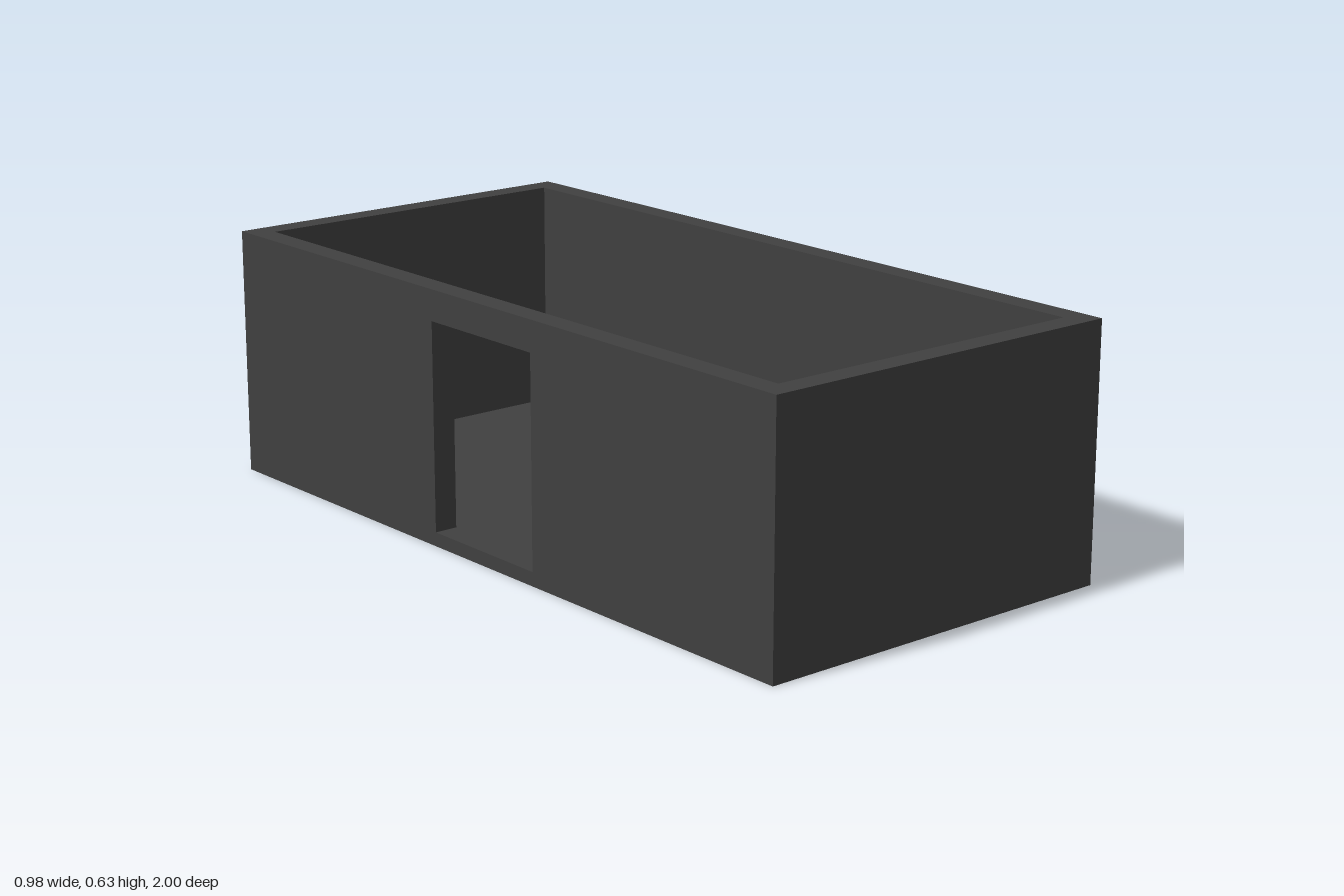
import * as THREE from 'three';

const WIDTH = 0.984, LENGTH = 2, HEIGHT = 0.63;
const WALL = 0.06, FLOOR = 0.035;
const DOOR_HALF = 0.187, DOOR_TOP = 0.553;

export function createModel() {
  const group = new THREE.Group();
  group.name = 'roofless room';
  const material = new THREE.MeshStandardMaterial({ color: 0x404040 });

  function add(name, geometry, x, y, z) {
    const mesh = new THREE.Mesh(geometry, material);
    mesh.name = name;
    mesh.position.set(x, y, z);
    group.add(mesh);
    return mesh;
  }

  const wallHeight = HEIGHT - FLOOR;
  const wallY = FLOOR + wallHeight / 2;
  const sideX = (WIDTH - WALL) / 2;
  const innerLength = LENGTH - 2 * WALL;

  // Floor slab under the whole room
  add('floor', new THREE.BoxGeometry(WIDTH, FLOOR, LENGTH), 0, FLOOR / 2, 0);

  // Short end walls
  for (const [name, side] of [['frontWall', 1], ['backWall', -1]]) {
    add(name, new THREE.BoxGeometry(WIDTH, wallHeight, WALL), 0, wallY, side * (LENGTH - WALL) / 2);
  }

  // Plain long wall
  add('leftWall', new THREE.BoxGeometry(WALL, wallHeight, innerLength), sideX, wallY, 0);

  // Long wall with a doorway reaching down to the floor
  const half = innerLength / 2;
  const outline = new THREE.Shape([
    [-half, FLOOR], [-DOOR_HALF, FLOOR], [-DOOR_HALF, DOOR_TOP], [DOOR_HALF, DOOR_TOP],
    [DOOR_HALF, FLOOR], [half, FLOOR], [half, HEIGHT], [-half, HEIGHT],
  ].map(([z, y]) => new THREE.Vector2(z, y)));
  const doorWall = new THREE.ExtrudeGeometry(outline, { depth: WALL, bevelEnabled: false });
  doorWall.rotateY(Math.PI / 2);
  add('rightWallWithDoorway', doorWall, -WIDTH / 2, 0, 0);

  return group;
}
